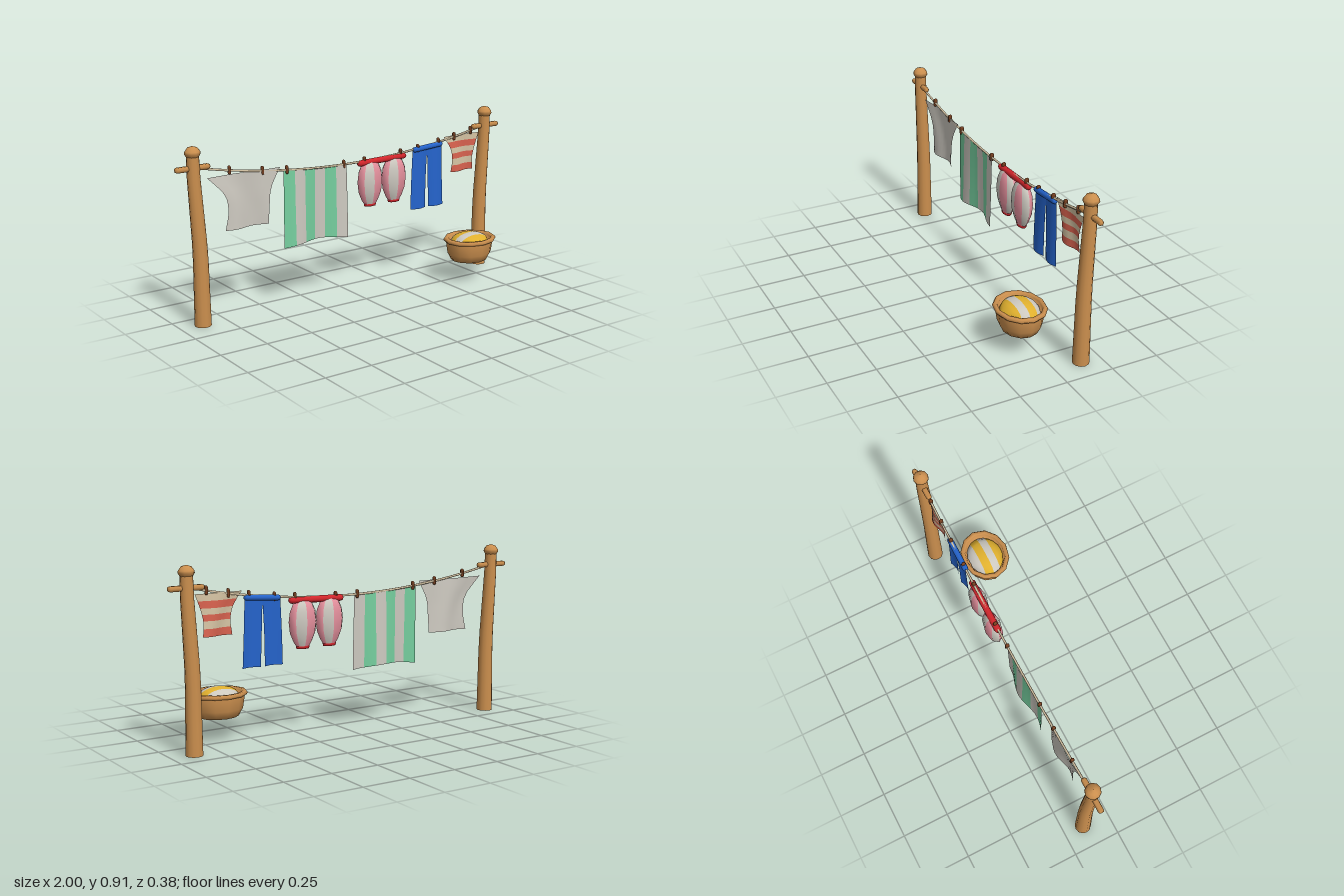
import * as THREE from 'three';

const mat = (name, color, double = false) => {
  const m = new THREE.MeshStandardMaterial({ color });
  m.name = name;
  if (double) m.side = THREE.DoubleSide;
  return m;
};

const LINE_Z = -0.145;
const ropeY = x => 0.7 + 0.09 * (x / 0.86) ** 2;

export function createModel() {
  const M = {
    wood: mat('wood', 0xcb8f4e, true),
    clip: mat('dark wood', 0x7a4222),
    white: mat('white cloth', 0xcdc9c0, true),
    green: mat('green cloth', 0x76cf9f, true),
    pink: mat('pink cloth', 0xe6919e, true),
    red: mat('red trim', 0xd4262c, true),
    blue: mat('blue cloth', 0x2564cc, true),
    cream: mat('cream cloth', 0xd6c4a4, true),
    coral: mat('coral cloth', 0xd9624f, true),
    yellow: mat('yellow cloth', 0xe0b02e, true),
  };
  const root = new THREE.Group();
  root.name = 'clothesline';

  const add = (name, geometry, material, x = 0, y = 0, z = 0, parent = root) => {
    const mesh = new THREE.Mesh(geometry, material);
    mesh.name = name;
    mesh.position.set(x, y, z);
    parent.add(mesh);
    return mesh;
  };
  const lathe = (points, segments, start = 0, length = Math.PI * 2) =>
    new THREE.LatheGeometry(points.map(p => new THREE.Vector2(...p)), segments, start, length);

  // Grid sheet: rows are [y, left, right] from hem to top; pick(u cell, v cell) gives the material index
  const sheet = (name, rows, nu, nv, materials, pick, wave, topY) => {
    const pos = [], index = [];
    const g = new THREE.BufferGeometry();
    const curve = new THREE.CatmullRomCurve3(rows.map(r => new THREE.Vector3(...r)));
    for (let j = 0; j <= nv; j++) {
      const p = curve.getPoint(j / nv), v = j / nv;
      for (let i = 0; i <= nu; i++) {
        const u = i / nu, x = p.y + (p.z - p.y) * u;
        const y = p.x + (topY ? (topY(x) - rows[rows.length - 1][0]) * v : 0);
        pos.push(x, y, LINE_Z + wave(u, v));
      }
    }
    for (let m = 0; m < materials.length; m++) {
      const start = index.length;
      for (let j = 0; j < nv; j++) for (let i = 0; i < nu; i++) {
        if (pick(i, j) !== m) continue;
        const a = j * (nu + 1) + i, b = a + nu + 1;
        index.push(a, a + 1, b + 1, a, b + 1, b);
      }
      g.addGroup(start, index.length - start, m);
    }
    g.setAttribute('position', new THREE.Float32BufferAttribute(pos, 3));
    g.setIndex(index);
    g.computeVertexNormals();
    return add(name, g, materials);
  };

  // Leaning posts with knobs and crossbars
  for (const s of [-1, 1]) {
    const side = s > 0 ? 'left' : 'right';
    const post = new THREE.CylinderGeometry(0.031, 0.042, 0.86, 12, 8);
    post.translate(0, 0.43, 0);
    const p = post.attributes.position;
    for (let i = 0; i < p.count; i++) {
      const t = Math.max(0, (p.getY(i) - 0.38) / 0.48);
      p.setX(i, p.getX(i) + s * (0.882 + 0.023 * Math.min(1, t * 1.2)));
    }
    add(side + 'Post', post, M.wood, 0, 0, LINE_Z);
    const knob = lathe([[0, 0.845], [0.026, 0.846], [0.04, 0.868], [0.038, 0.88], [0.025, 0.898], [0, 0.906]], 10);
    add(side + 'Knob', knob, M.wood, s * 0.905, 0, LINE_Z);
    const bar = lathe([[0, -0.092], [0.011, -0.091], [0.015, -0.082], [0.015, 0.082], [0.011, 0.091], [0, 0.092]], 6);
    add(side + 'Crossbar', bar.rotateZ(Math.PI / 2), M.wood, s * 0.908, 0.798, LINE_Z);
  }

  // Sagging rope and pegs
  const ropePoints = [];
  for (let i = 0; i <= 12; i++) {
    const x = -0.88 + i * 1.76 / 12;
    ropePoints.push(new THREE.Vector3(x, ropeY(x), LINE_Z));
  }
  add('rope', new THREE.TubeGeometry(new THREE.CatmullRomCurve3(ropePoints), 36, 0.006, 6), M.cream);
  for (const x of [-0.71, -0.525, -0.385, -0.04, 0.09, 0.325, 0.44, 0.58, 0.69, 0.805]) {
    const peg = add('peg', new THREE.CapsuleGeometry(0.008, 0.03, 2, 6), M.clip, x, ropeY(x) + 0.002, LINE_Z);
    peg.scale.z = 1.5;
  }

  // Plain shirt
  sheet('plainShirt', [[0.46, -0.74, -0.5], [0.55, -0.725, -0.494], [0.635, -0.738, -0.483], [0.74, -0.835, -0.425]],
    10, 8, [M.white], () => 0, (u, v) => 0.012 * Math.sin(u * 7 + v * 2) * (1 - 0.5 * v));

  // Striped towel with a slightly raised hem
  const towel = sheet('stripedTowel', [[0.31, -0.405, -0.025], [0.5, -0.405, -0.025], [0.705, -0.403, -0.027]],
    12, 6, [M.green, M.white], i => Math.floor(i / 2) % 2,
    (u, v) => 0.016 * Math.sin(u * 8) * (1 - 0.6 * v), x => ropeY(x) - 0.003);
  const tp = towel.geometry.attributes.position;
  for (let i = 0; i <= 12; i++) tp.setY(i, 0.31 + 0.016 * Math.sin(i / 12 * Math.PI));

  // Puffed bloomers: striped legs, red cuffs and waistband
  const bloomers = new THREE.Group();
  bloomers.name = 'bloomers';
  root.add(bloomers);
  const puff = [[0.034, 0.462], [0.053, 0.49], [0.073, 0.535], [0.08, 0.59], [0.073, 0.64], [0.055, 0.678], [0.03, 0.692]];
  for (const x of [0.126, 0.281]) {
    const leg = new THREE.Group();
    leg.name = 'bloomersLeg';
    leg.position.set(x, 0, LINE_Z);
    leg.scale.z = 0.55;
    bloomers.add(leg);
    for (let k = 0; k < 8; k++)
      add('legStripe', lathe(puff, 1, k * Math.PI / 4, Math.PI / 4), k % 2 ? M.white : M.pink, 0, 0, 0, leg);
    add('cuff', lathe([[0.024, 0.453], [0.036, 0.455], [0.04, 0.467], [0.032, 0.473]], 8), M.red, 0, 0, 0, leg);
  }
  const band = new THREE.CapsuleGeometry(0.017, 0.28, 3, 8).rotateZ(Math.PI / 2 + 0.025);
  add('bloomersWaistband', band, M.red, 0.203, 0.694, LINE_Z, bloomers);

  // Blue trousers
  const wave = (u, v) => 0.014 * Math.sin(u * Math.PI) * (1 - 0.5 * v) - 0.004;
  sheet('trouserLeg', [[0.388, 0.398, 0.498], [0.55, 0.402, 0.5], [0.73, 0.41, 0.509]], 6, 6, [M.blue], () => 0, wave);
  sheet('trouserLeg', [[0.388, 0.52, 0.62], [0.55, 0.514, 0.612], [0.735, 0.507, 0.605]], 6, 6, [M.blue], () => 0, wave);
  const waist = new THREE.CapsuleGeometry(0.015, 0.17, 3, 8).rotateZ(Math.PI / 2 + 0.07);
  add('trouserWaistband', waist, M.blue, 0.507, 0.724, LINE_Z);

  // Small striped shirt
  sheet('stripedShirt', [[0.56, 0.671, 0.826], [0.635, 0.677, 0.821], [0.695, 0.662, 0.835], [0.765, 0.615, 0.862]],
    8, 12, [M.coral, M.cream], (i, j) => Math.floor(j / 2) % 2,
    (u, v) => 0.01 * Math.sin(u * 6 + v * 2) * (1 - 0.5 * v));

  // Oval basket with rim and folded striped laundry
  const basket = new THREE.Group();
  basket.name = 'basket';
  basket.position.set(0.645, 0, 0.06);
  basket.scale.x = 1.17;
  root.add(basket);
  add('basketBody', lathe([[0, 0.12], [0.088, 0.12], [0.107, 0.16], [0.117, 0.235], [0.104, 0.235], [0.098, 0.2], [0, 0.2]], 12),
    M.wood, 0, 0, 0, basket);
  add('basketRim', lathe([[0.104, 0.234], [0.113, 0.225], [0.122, 0.225], [0.129, 0.235], [0.122, 0.246], [0.108, 0.246], [0.104, 0.234]], 12),
    M.wood, 0, 0, 0, basket);

  // Laundry mound, striped in bands from back to front
  const bands = [-0.092, -0.045, 0, 0.042, 0.092];
  for (let b = 0; b < 4; b++) {
    const g = new THREE.PlaneGeometry(2, 1, 10, 3).rotateX(-Math.PI / 2);
    const q = g.attributes.position;
    for (let i = 0; i < q.count; i++) {
      const z = THREE.MathUtils.lerp(bands[b], bands[b + 1], q.getZ(i) + 0.5);
      const x = q.getX(i) * Math.sqrt(Math.max(0, 0.0955 ** 2 - z * z));
      const d = (x * x + z * z) / 0.0955 ** 2;
      q.setXYZ(i, x, 0.215 + 0.055 * Math.sqrt(Math.max(0, 1 - d)), z);
    }
    g.computeVertexNormals();
    add('laundryStripe', g, b % 2 ? M.yellow : M.white, 0, 0, 0, basket);
  }
  // Order of bands, back to front: white, yellow, white, yellow

  return root;
}
